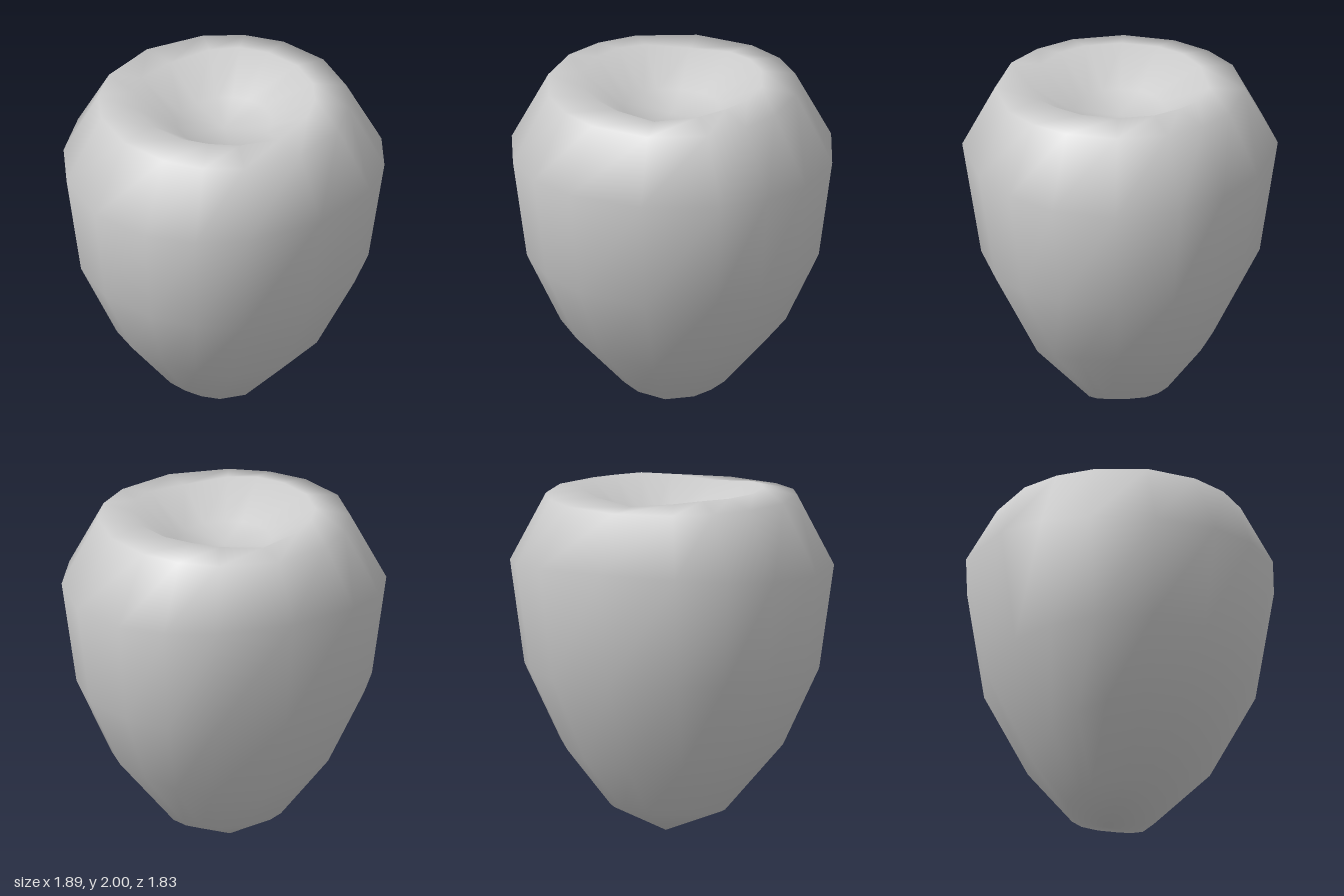
import * as THREE from 'three';

// Cross-sections from tip to dimple: half width and its height,
// front z and its height, back z and its height
const RINGS = [
  { rx: 0.35, y: 0.14, zf: 0.20, yf: 0.05, zb: -0.31, yb: 0.13 },
  { rx: 0.67, y: 0.53, zf: 0.53, yf: 0.39, zb: -0.54, yb: 0.41 },
  { rx: 0.865, y: 0.96, zf: 0.80, yf: 0.91, zb: -0.81, yb: 0.94 },
  { rx: 0.945, y: 1.55, zf: 0.91, yf: 1.59, zb: -0.915, yb: 1.62 },
  { rx: 0.73, y: 1.96, zf: 0.72, yf: 1.95, zb: -0.73, yb: 1.95 },
  { rx: 0.53, y: 2.0, zf: 0.52, yf: 1.96, zb: -0.52, yb: 1.96, corner: 2.0 },
  { rx: 0.28, y: 1.82, zf: 0.27, yf: 1.81, zb: -0.27, yb: 1.81 },
];
// Angles of one quarter, measured from the z axis
const QUARTER = [0, 28, 47, 66];

function ringAngles() {
  const half = [...QUARTER, 90, ...QUARTER.slice(1).reverse().map((d) => 180 - d)];
  return [...half, ...half.map((d) => d + 180)].map(THREE.MathUtils.degToRad);
}

function fruitGeometry() {
  const angles = ringAngles();
  const n = angles.length;
  const pos = [0, 0, -0.08]; // tip
  for (const r of RINGS) {
    const cz = (r.zf + r.zb) / 2;
    const rz = (r.zf - r.zb) / 2;
    for (const a of angles) {
      const s = Math.sin(a);
      const c = Math.cos(a);
      const yEnd = c > 0 ? r.yf : r.yb;
      // The rim dips only at its front and back centres
      const blend = r.corner ? Math.min(1, Math.abs(s) * 1.4) : s * s;
      pos.push(r.rx * s, THREE.MathUtils.lerp(yEnd, r.y, blend), cz + rz * c);
    }
  }
  const top = pos.length / 3;
  pos.push(0, 1.78, 0); // dimple centre

  const index = [];
  const at = (ring, j) => 1 + ring * n + (j % n);
  const last = RINGS.length - 1;
  for (let j = 0; j < n; j++) {
    index.push(0, at(0, j + 1), at(0, j));
    for (let i = 0; i < last; i++) {
      index.push(at(i, j), at(i, j + 1), at(i + 1, j + 1));
      index.push(at(i, j), at(i + 1, j + 1), at(i + 1, j));
    }
    index.push(at(last, j), at(last, j + 1), top);
  }

  const geo = new THREE.BufferGeometry();
  geo.setAttribute('position', new THREE.Float32BufferAttribute(pos, 3));
  geo.setIndex(index);
  geo.computeVertexNormals();
  return geo;
}

export function createModel() {
  const group = new THREE.Group();
  group.name = 'fruit';
  const body = new THREE.Mesh(
    fruitGeometry(),
    new THREE.MeshStandardMaterial({ color: 0xcccccc })
  );
  body.name = 'fruitBody';
  group.add(body);
  return group;
}
